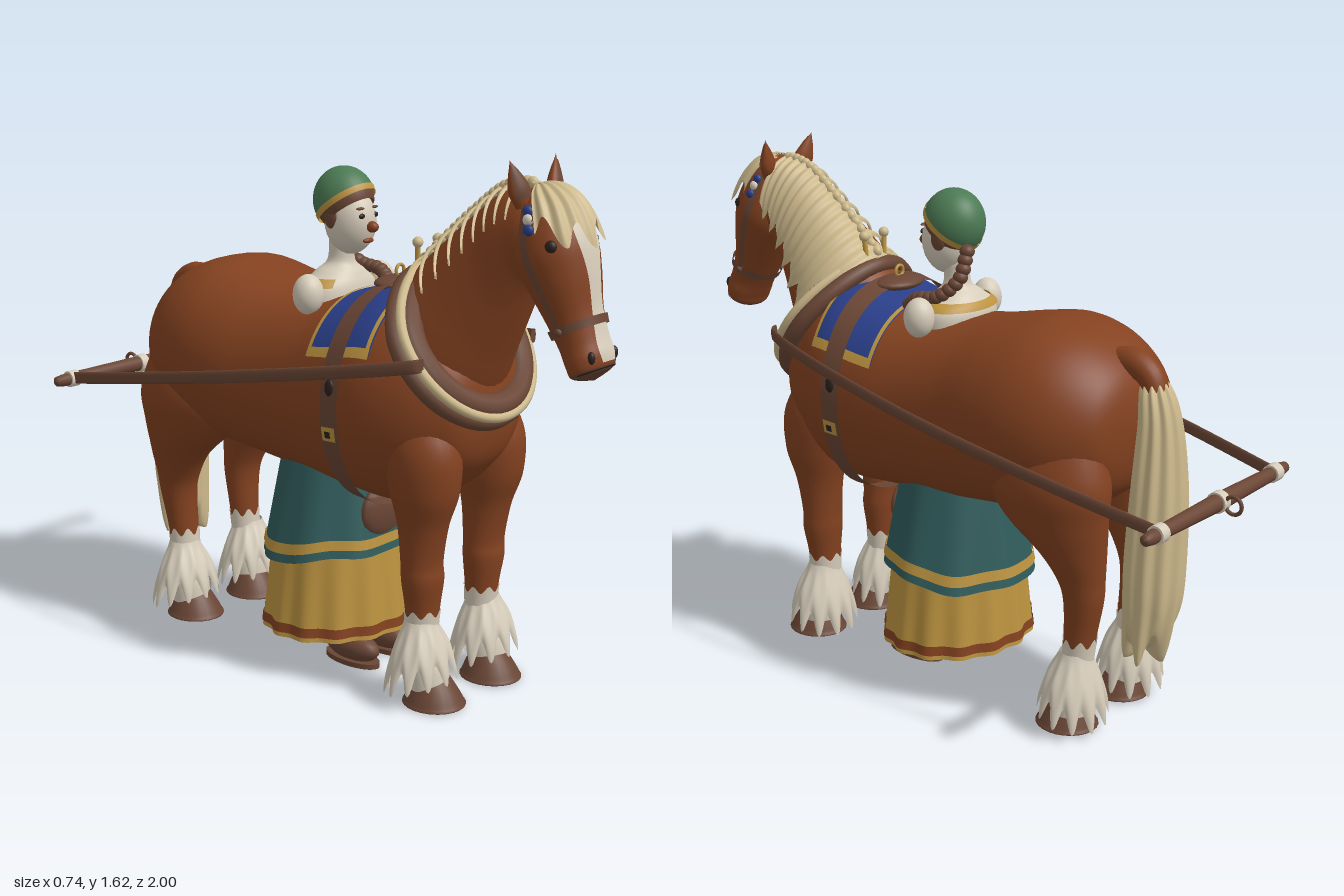
import * as THREE from 'three';
import { mergeVertices } from 'three/addons/utils/BufferGeometryUtils.js';

const mat = (name, color) => new THREE.MeshStandardMaterial({ name, color, side: THREE.DoubleSide });
const V = (x, y, z) => new THREE.Vector3(x, y, z);
const { PI, sin, cos, min, max, floor, abs, sign } = Math;

// Smooth surface through oval sections [x, y, z, halfWidth, halfDepth, tilt]; angle 0 points along the tilt,
// and a power under 1 makes the flanks fuller
function loft(secs, power = 1) {
  const n = secs.length - 1;
  return (u, a, grow = 0) => {
    const i = max(0, min(floor(u), n - 1)), t = u - i;
    const [x, y, z, hx, hn, tilt] = secs[i].map((p1, k) => {
      const p0 = secs[max(i - 1, 0)][k], p2 = secs[i + 1][k], p3 = secs[min(i + 2, n)][k];
      return p1 + 0.5 * t * (p2 - p0 + t * (2 * p0 - 5 * p1 + 4 * p2 - p3 + t * (3 * (p1 - p2) + p3 - p0)));
    });
    const N = (max(hn, 0) + grow) * cos(a);
    return V(x + (max(hx, 0) + grow) * sign(sin(a)) * abs(sin(a)) ** power, y + N * cos(tilt), z + N * sin(tilt));
  };
}

// Grid over f(u, a)
function patch(f, u0, u1, a0, a1, nu, nv) {
  const pos = [], idx = [];
  for (let i = 0; i <= nu; i++) for (let j = 0; j <= nv; j++)
    pos.push(...f(u0 + (u1 - u0) * i / nu, a0 + (a1 - a0) * j / nv).toArray());
  for (let i = 0; i < nu; i++) for (let j = 0; j < nv; j++) {
    const p = i * (nv + 1) + j, q = p + nv + 1;
    idx.push(p, q, q + 1, p, q + 1, p + 1);
  }
  const g = new THREE.BufferGeometry();
  g.setAttribute('position', new THREE.Float32BufferAttribute(pos, 3));
  g.setIndex(idx);
  const m = mergeVertices(g, 1e-5);
  m.computeVertexNormals();
  return m;
}

export function createModel() {
  const root = new THREE.Group();
  const chestnut = mat('chestnut', 0x844220), leather = mat('leather', 0x6a4635), cream = mat('cream', 0xcdb98c),
    white = mat('white', 0xd6ccba), blue = mat('blue', 0x2a3f8a), gold = mat('gold', 0xbd9440),
    teal = mat('teal', 0x315c5c), green = mat('green', 0x4c7a54), dark = mat('dark', 0x2c211d);
  const add = (name, geo, m, parent = root) => {
    const mesh = new THREE.Mesh(geo, m);
    mesh.name = name;
    parent.add(mesh);
    return mesh;
  };
  const ball = (name, p, r, m, sx = 1, sy = 1, sz = 1) => {
    const b = add(name, new THREE.SphereGeometry(r, 20, 14), m);
    b.position.copy(p);
    b.scale.set(sx, sy, sz);
  };
  const tube = (name, pts, r, m, closed = false) =>
    add(name, new THREE.TubeGeometry(new THREE.CatmullRomCurve3(pts, closed), 64, r, 10, closed), m);
  const skin = (f, u0, u1, nu = 40, nv = 36) => patch(f, u0, u1, 0, 2 * PI, nu, nv);
  const band = (name, f, u0, u1, a0, a1, grow, m, nu = 4, nv = 40) =>
    add(name, patch((u, a) => f(u, a, grow), u0, u1, a0, a1, nu, nv), m);

  // Barrel: z, top, bottom, half width
  const body = loft([[-0.675, 0.95, 0.95, 0], [-0.65, 1.06, 0.8, 0.16], [-0.6, 1.13, 0.72, 0.235], [-0.5, 1.19, 0.66, 0.295],
    [-0.38, 1.215, 0.63, 0.32], [-0.25, 1.195, 0.62, 0.315], [-0.1, 1.165, 0.6, 0.29], [0.05, 1.155, 0.59, 0.285],
    [0.2, 1.18, 0.575, 0.295], [0.35, 1.21, 0.57, 0.295], [0.48, 1.17, 0.62, 0.255], [0.57, 1.08, 0.7, 0.19],
    [0.61, 1.0, 0.77, 0.125], [0.63, 0.88, 0.88, 0]].map(([z, t, b, w]) => [0, (t + b) / 2, z, w, (t - b) / 2, 0]), 0.82);
  add('body', skin(body, 0, 13, 78, 56), chestnut);

  // Neck and head
  const neck = loft([[0, 0.95, 0.36, 0.2, 0.22, -0.75], [0, 1.08, 0.46, 0.19, 0.21, -0.75], [0, 1.2, 0.55, 0.15, 0.185, -0.65],
    [0, 1.3, 0.63, 0.12, 0.165, -0.5], [0, 1.38, 0.7, 0.105, 0.145, -0.35], [0, 1.42, 0.77, 0.09, 0.11, -0.2],
    [0, 1.43, 0.81, 0.04, 0.05, -0.2]]);
  add('neck', skin(neck, 0, 6), chestnut);
  const head = loft([[1.545, 0.75, 0, 0], [1.52, 0.765, 0.06, 0.05], [1.46, 0.785, 0.095, 0.095], [1.37, 0.815, 0.12, 0.115],
    [1.29, 0.85, 0.108, 0.1], [1.2, 0.885, 0.085, 0.078], [1.13, 0.918, 0.078, 0.066], [1.085, 0.94, 0.083, 0.062],
    [1.05, 0.95, 0.07, 0.05], [1.03, 0.955, 0, 0]].map(([y, z, w, d]) => [0, y, z, w, d, 1.12]));
  add('head', skin(head, 0, 7.7, 48), chestnut);
  add('muzzle', skin(head, 7.7, 9, 10), leather);
  add('blaze', patch((u, a) => head(u, a * (0.34 + 0.08 * cos((u - 2.5) * 1.6)), 0.004), 1.6, 7.5, -1, 1, 30, 8), white);
  band('noseband', head, 5.25, 5.55, 0, 2 * PI, 0.008, leather);
  band('browband', head, 1.95, 2.15, -1.6, 1.6, 0.008, leather);
  band('mouthLine', head, 7.85, 7.97, -1.5, 1.5, 0.003, dark);
  for (const s of [-1, 1]) {
    band('cheekStrap', head, 1.4, 5.4, s * 1.55, s * 1.75, 0.008, leather, 24, 3);
    ball('horseEye', head(3, s * 1.02, -0.008), 0.019, dark, 0.8, 1, 1);
    ball('nostril', head(7, s * 0.75, -0.004), 0.015, dark, 0.7, 1.2, 0.8);
    ball('bitRing', head(5.4, s * 1.65, 0.004), 0.012, leather);
    for (let k = 0; k < 3; k++) ball('rosette', head(1.75 + k * 0.3, s * 1.5, 0.004), 0.016, k === 1 ? white : blue, 0.7, 1, 1);
    // Ears
    const ear = new THREE.Group();
    ear.name = 'ear';
    const shell = loft([[0, 0, 0, 0.025, 0.018, 0], [0, 0, 0, 0.033, 0.022, 0], [0, 0, 0, 0.02, 0.013, 0], [0, 0, 0, 0, 0, 0]]);
    const earAt = (u, a, g = 0) => { const p = shell(u, a, g); return V(p.x, u * 0.044, p.y); };
    add('earShell', skin(earAt, 0, 3, 12, 16), chestnut, ear);
    add('innerEar', patch((u, a) => earAt(u, a, 0.002), 0.5, 2.6, -0.8, 0.8, 8, 8), leather, ear);
    ear.position.set(s * 0.068, 1.49, 0.755);
    ear.rotation.set(-0.1, s * 0.35, -s * 0.3);
    root.add(ear);
  }

  // Mane: full fall on the left, narrow locks on the right, braid on the crest
  const tooth = (u) => abs((u * 3.5) % 2 - 1);
  add('mane', patch((u, a) => neck(u - 0.15 * a, a * (1.5 + 0.4 * tooth(u)), 0.018 + 0.004 * sin(u * 22 + a * 2)), 1.25, 5, -0.08, 1, 110, 14), cream);
  for (let k = 0; k < 9; k++) {
    const c = 1.5 + k * 0.39;
    add('maneLock', patch((w, a) => neck(c - a * 0.15 + w * 0.11 * (1 - a), -a * 1.2, 0.01 + 0.008 * (1 - w * w)), -1, 1, 0, 1, 6, 10), cream);
  }
  for (let k = 0; k < 20; k++) ball('crestBraid', neck(1.4 + k * 0.18, 0, 0.014), 0.018, cream, 0.8, 1, 1);
  add('forelock', patch((t, a) => head(0.3 + t * (2.75 + 0.4 * cos(a * 9) - 0.45 * a * a), a, 0.014 + 0.005 * cos(a * 18)), 0, 1, -1.3, 1.3, 16, 60), cream);

  // Legs, socks, hooves and feathering
  const legs = {
    front: [[0.14, 0.93, 0.43, 0.06, 0.09], [0.148, 0.79, 0.475, 0.1, 0.12], [0.15, 0.66, 0.49, 0.097, 0.108], [0.148, 0.55, 0.485, 0.075, 0.077],
      [0.145, 0.44, 0.48, 0.068, 0.06], [0.143, 0.38, 0.482, 0.068, 0.06], [0.14, 0.29, 0.48, 0.055, 0.05], [0.14, 0.2, 0.48, 0.05, 0.046],
      [0.14, 0.12, 0.5, 0.06, 0.058], [0.14, 0.05, 0.51, 0.06, 0.06]],
    hind: [[0.15, 0.98, -0.45, 0.1, 0.15], [0.175, 0.8, -0.46, 0.13, 0.2], [0.172, 0.68, -0.48, 0.118, 0.175], [0.16, 0.57, -0.54, 0.09, 0.105],
      [0.15, 0.49, -0.565, 0.07, 0.073], [0.145, 0.42, -0.573, 0.06, 0.06], [0.14, 0.3, -0.56, 0.051, 0.048], [0.14, 0.2, -0.55, 0.048, 0.046],
      [0.14, 0.12, -0.535, 0.06, 0.058], [0.14, 0.05, -0.53, 0.06, 0.06]],
  };
  for (const [kind, secs] of Object.entries(legs)) for (const s of [-1, 1]) {
    const f = loft(secs.map(([x, ...r]) => [s * x, ...r, PI / 2]));
    add(kind + 'Leg', skin(f, 0, 6.6, 40, 28), chestnut);
    add(kind + 'Sock', patch((t, a) => f(6.1 + 0.12 * cos(a * 7) * (1 - t) + 2.9 * t, a, 0.003), 0, 1, 0, 2 * PI, 16, 56), white);
    const [, , z] = secs[9], x = s * 0.135;
    add(kind + 'Hoof', skin(loft([[x, 0.09, z, 0.05, 0.05, PI / 2], [x, 0.055, z + 0.01, 0.066, 0.07, PI / 2], [x, 0.015, z + 0.015, 0.085, 0.09, PI / 2],
      [x, 0, z + 0.015, 0.085, 0.09, PI / 2], [x, 0, z + 0.015, 0, 0, PI / 2]]), 0, 4, 16, 24), leather);
    const zTop = secs[7][2];
    add(kind + 'Feather', patch((t, a) => {
      const lock = cos(a * 11), front = 0.5 + 0.5 * cos(a), r = 0.046 + 0.06 * sin(t * 1.6) ** 1.2 + 0.01 * t * lock;
      return V(s * 0.148 + r * sin(a) * 1.06, 0.255 - t * (0.2 - 0.05 * front + 0.035 * lock), zTop + r * cos(a) + t * (0.02 - 0.03 * front));
    }, 0, 1, 0, 2 * PI, 14, 110), white);
  }

  // Tail
  const dock = loft([[0, 1.11, -0.55, 0.035, 0.04, 0], [0, 1.12, -0.62, 0.042, 0.042, -0.3], [0, 1.09, -0.68, 0.042, 0.04, -0.9],
    [0, 1.03, -0.71, 0.035, 0.03, -1.4], [0, 0.99, -0.715, 0, 0, -1.5]]);
  add('dock', skin(dock, 0, 4, 20, 20), chestnut);
  const tail = loft([[1.1, -0.69, 0, 0], [1.06, -0.7, 0.042, 0.04], [0.95, -0.72, 0.065, 0.058], [0.75, -0.725, 0.09, 0.074], [0.55, -0.72, 0.1, 0.08],
    [0.4, -0.715, 0.095, 0.076], [0.27, -0.7, 0.075, 0.055], [0.25, -0.695, 0, 0]].map(([y, z, w, d]) => [0, y, z, w, d, PI / 2]));
  add('tail', patch((u, a) => {
    const p = tail(u, a, u % 7 ? 0.005 * cos(a * 10) : 0);
    p.y += 0.045 * cos(a * 5) * max(0, min(u - 5, 1)) * (u > 6 ? 7 - u : 1);
    return p;
  }, 0, 7, 0, 2 * PI, 42, 90), cream);

  // Collar: padded ring leaning back
  const ring = (R, off) => Array.from({ length: 24 }, (_, i) => {
    const a = i / 24 * 2 * PI, c = R * cos(a);
    return V(R * sin(a) * (1 - 0.2 * max(0, cos(a)) ** 2), 1.06 + c * 0.81 + off * 0.58, 0.49 - c * 0.58 + off * 0.81);
  });
  tube('collarPad', ring(0.212, 0.02), 0.04, leather, true);
  tube('collarRim', ring(0.25, 0.03), 0.015, cream, true);
  tube('collarBack', ring(0.243, -0.008), 0.028, leather, true);
  for (const s of [-1, 1]) {
    tube('hameHorn', [V(s * 0.04, 1.27, 0.36), V(s * 0.045, 1.34, 0.365)], 0.008, gold);
    ball('hameKnob', V(s * 0.045, 1.345, 0.365), 0.016, cream);
  }

  // Saddle cloth, girth and pad
  band('saddleCloth', body, 7.6, 9.2, -1.06, 1.06, 0.01, blue, 12);
  for (const u of [7.6, 9.1]) band('clothEdge', body, u, u + 0.09, -1.06, 1.06, 0.014, gold);
  for (const s of [-1, 1]) {
    band('clothHem', body, 7.6, 9.2, s * 1.0, s * 1.1, 0.014, gold, 12, 3);
    band('buckle', body, 8.28, 8.62, s * 1.72, s * 1.85, 0.027, gold, 4, 4);
    band('buckleCentre', body, 8.38, 8.52, s * 1.755, s * 1.815, 0.031, dark, 3, 3);
    ball('girthStud', body(8.45, s * 1.38, 0.02), 0.024, dark, 0.4, 1.1, 0.7);
  }
  band('girth', body, 8.23, 8.67, 0, 2 * PI, 0.022, leather, 4, 64);
  ball('saddlePad', V(0, 1.21, 0.26), 0.09, leather, 1, 0.25, 0.72);
  const terret = add('terret', new THREE.TorusGeometry(0.017, 0.005, 8, 20), gold);
  terret.position.set(0, 1.245, 0.26);

  // Traces and swingletree
  for (const s of [-1, 1]) {
    const trace = loft([[0.3, -0.92], [0.335, -0.6], [0.357, -0.2], [0.345, 0.15], [0.315, 0.4], [0.28, 0.54], [0.25, 0.56]]
      .map(([x, z]) => [s * x, 0.772 + (z + 0.92) * 0.188, z, 0.006, 0.02, 0]));
    add('trace', skin(trace, 0, 6, 40, 12), leather);
    const clamp = add('barClamp', new THREE.CylinderGeometry(0.027, 0.027, 0.035, 20), white);
    clamp.rotation.z = PI / 2;
    clamp.position.set(s * 0.3, 0.77, -0.92);
  }
  const bar = add('swingletree', new THREE.LatheGeometry([[0, -0.37], [0.016, -0.365], [0.02, -0.34], [0.026, 0], [0.02, 0.34], [0.016, 0.365], [0, 0.37]]
    .map(([r, y]) => new THREE.Vector2(r, y)), 20), leather);
  bar.rotation.z = PI / 2;
  bar.position.set(0, 0.77, -0.92);
  const clamp = add('centreClamp', new THREE.CylinderGeometry(0.031, 0.031, 0.03, 20), white);
  clamp.rotation.z = PI / 2;
  clamp.position.copy(bar.position);
  const hitch = add('hitchRing', new THREE.TorusGeometry(0.026, 0.006, 8, 24), leather);
  hitch.rotation.y = PI / 2;
  hitch.position.set(0, 0.77, -0.968);

  // Skirts with soft pleats
  const skirt = (y, a, g = 0) => {
    const p = g + 0.008 * sin(a * 14) * max(0, 1 - y * 1.8), k = y - 0.1;
    return V((0.258 - 0.12 * k + p) * sin(a), y, 0.02 + (0.222 - 0.08 * k + p) * cos(a));
  };
  add('skirt', patch(skirt, 0.1, 0.42, 0, 2 * PI, 8, 140), gold);
  band('skirtLining', skirt, 0.11, 0.42, 0, 2 * PI, -0.008, leather, 4, 140);
  band('skirtStripe', skirt, 0.115, 0.145, 0, 2 * PI, 0.004, chestnut, 2, 140);
  const overskirt = (t, a, g = 0) => {
    const hem = 0.345 + 0.03 * cos(a) + 0.006 * sin(a * 5), y = hem + t * (0.8 - hem), k = y - 0.33, p = g + 0.005 * sin(a * 9) * (1 - t);
    return V((0.256 - 0.24 * k + p) * sin(a), y, 0.02 + (0.227 - 0.15 * k + p) * cos(a));
  };
  add('overskirt', patch(overskirt, 0, 1, 0, 2 * PI, 12, 100), teal);
  band('overskirtTrim', overskirt, 0.06, 0.13, 0, 2 * PI, 0.005, gold, 2, 100);
  ball('pouch', V(0, 0.5, 0.21), 0.1, leather, 1.05, 0.9, 0.32);
  for (const s of [-1, 1]) {
    tube('shin', [V(s * 0.07, 0.4, 0.06), V(s * 0.07, 0.05, 0.075)], 0.042, leather);
    ball('shoe', V(s * 0.07, 0.05, 0.14), 0.052, leather, 0.9, 0.9, 2);
    add('shoeSole', new THREE.CylinderGeometry(0.05, 0.05, 0.016, 24).scale(0.95, 1, 2.1).translate(s * 0.07, 0.008, 0.14), leather);
  }

  // Woman's blouse, shawl, neck and sleeves
  const torso = loft([[1.32, 0.03, 0.04, 0.04], [1.25, 0.025, 0.042, 0.042], [1.215, 0.02, 0.085, 0.068], [1.17, 0.015, 0.135, 0.09], [1.08, 0.02, 0.135, 0.092],
    [0.9, 0.02, 0.11, 0.085]].map(([y, z, w, d]) => [0, y, z, w, d, PI / 2]));
  add('blouse', skin(torso, 0, 5, 30), white);
  band('shawl', torso, 2.3, 2.85, 0.8, 2 * PI - 0.8, 0.008, gold, 6);
  for (const s of [-1, 1]) ball('sleeve', V(s * 0.16, 1.165, 0.04), 0.047, white, 1, 1.3, 1);

  // Face, hair, headscarf
  ball('face', V(0, 1.37, 0.062), 0.1, white, 0.72, 1, 0.84);
  ball('nose', V(0, 1.36, 0.15), 0.019, chestnut, 0.9, 0.9, 1.1);
  ball('lips', V(0, 1.318, 0.134), 0.02, chestnut, 1.1, 0.4, 0.5);
  for (const s of [-1, 1]) {
    ball('eye', V(s * 0.029, 1.393, 0.135), 0.01, dark, 1.2, 0.8, 0.6);
    ball('eyebrow', V(s * 0.03, 1.415, 0.129), 0.014, leather, 1.2, 0.3, 0.6);
    ball('sideHair', V(s * 0.066, 1.385, 0.045), 0.026, leather, 0.5, 1.3, 1);
  }
  const cap = (name, r, t0, t1, m) => {
    const c = add(name, new THREE.SphereGeometry(r, 32, 20, 0, 2 * PI, t0, t1 - t0).rotateX(-0.62).scale(0.87, 1, 0.97), m);
    c.position.set(0, 1.43, 0.037);
  };
  cap('hair', 0.097, 0, 2.05, leather);
  cap('headscarf', 0.102, 0, 1.66, green);
  cap('headscarfTrim', 0.105, 1.6, 1.78, gold);

  // Braid over the left shoulder
  const plait = new THREE.CatmullRomCurve3([V(0.045, 1.36, -0.05), V(0.075, 1.28, -0.045), V(0.105, 1.225, 0.01), V(0.115, 1.21, 0.08), V(0.1, 1.18, 0.13)]);
  for (let k = 0; k <= 13; k++) ball('braid', plait.getPoint(k / 13), 0.023, leather, 1, 0.9, 1);
  return root;
}
